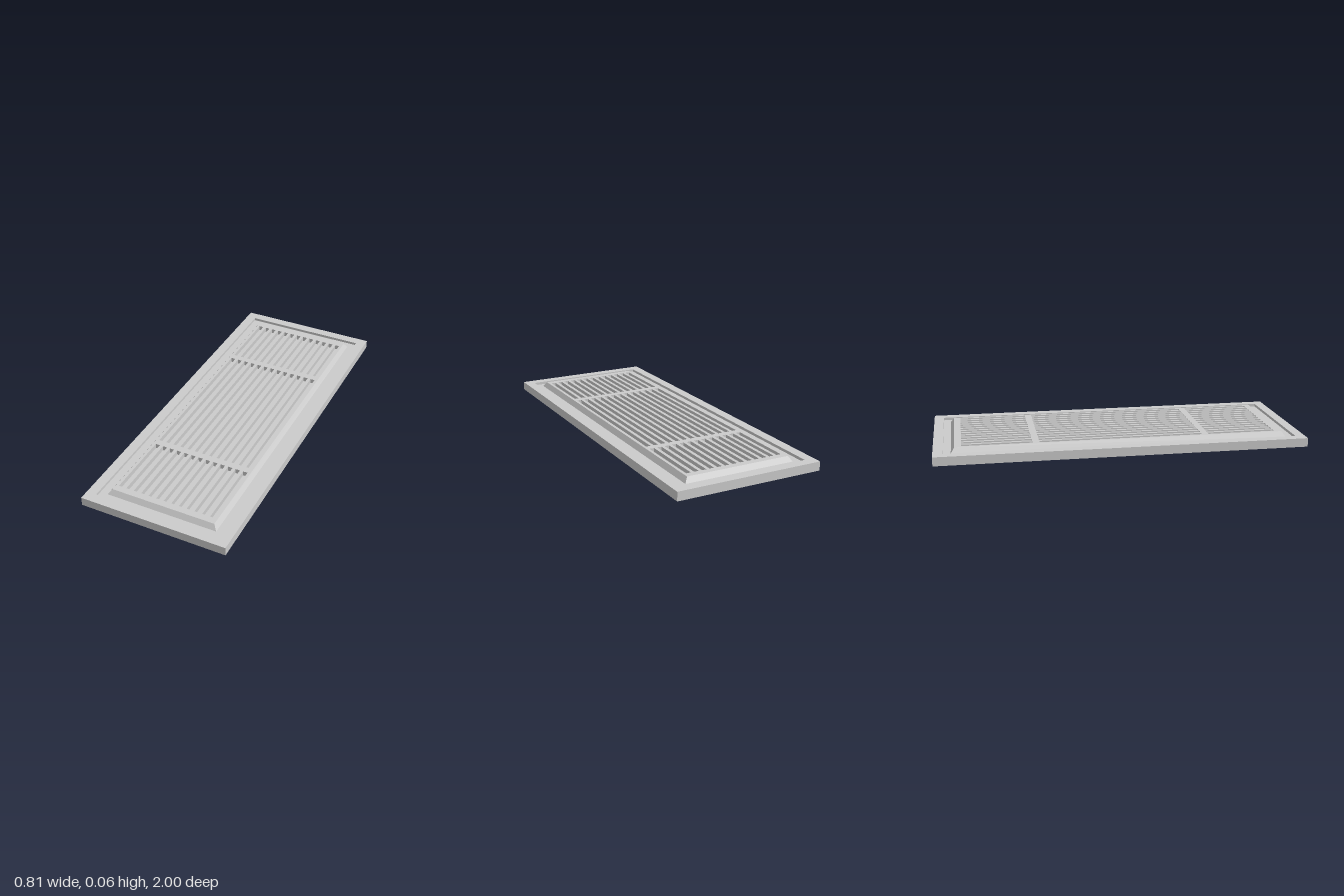
import * as THREE from 'three';

const FLOOR = 0.033, RIM = 0.048, TOP = 0.06;

// Rectangle outline from half sizes about a centre
function rect(PathType, hx, hz, cx = 0, cz = 0) {
  return new PathType([[-1, -1], [1, -1], [1, 1], [-1, 1]]
    .map(([sx, sz]) => new THREE.Vector2(cx + sx * hx, cz + sz * hz)));
}

// Extrude a flat outline upward from y0 to y1
function slab(shape, y0, y1) {
  const geo = new THREE.ExtrudeGeometry(shape, { depth: y1 - y0, bevelEnabled: false });
  return geo.rotateX(-Math.PI / 2).translate(0, y0, 0);
}

export function createModel() {
  const group = new THREE.Group();
  const material = new THREE.MeshStandardMaterial({ color: 0xcccccc });
  const add = (name, geo) => {
    const mesh = new THREE.Mesh(geo, material);
    mesh.name = name;
    group.add(mesh);
  };

  // Solid base plate, also the floor of the groove and slots
  add('basePlate', slab(rect(THREE.Shape, 0.403, 1), 0, FLOOR));

  // Outer rim around the groove
  const rim = rect(THREE.Shape, 0.403, 1);
  rim.holes.push(rect(THREE.Path, 0.349, 0.947));
  add('outerRim', slab(rim, FLOOR, RIM));

  // Raised grille: three rows of thirteen slots
  const grille = rect(THREE.Shape, 0.288, 0.888);
  for (const [cz, hz] of [[-0.666, 0.186], [0, 0.443], [0.666, 0.186]]) {
    for (let i = -6; i <= 6; i++) {
      grille.holes.push(rect(THREE.Path, 0.0125, hz, i * 0.0432, cz));
    }
  }
  const geo = slab(grille, FLOOR, TOP);

  // Spread the foot of the outer walls into a chamfer
  const p = geo.attributes.position;
  for (let i = 0; i < p.count; i++) {
    if (p.getY(i) < FLOOR + 0.001 && Math.abs(p.getX(i)) > 0.28) {
      p.setX(i, p.getX(i) + Math.sign(p.getX(i)) * 0.019);
      p.setZ(i, p.getZ(i) + Math.sign(p.getZ(i)) * 0.019);
    }
  }
  geo.computeVertexNormals();
  add('slottedGrille', geo);

  return group;
}
